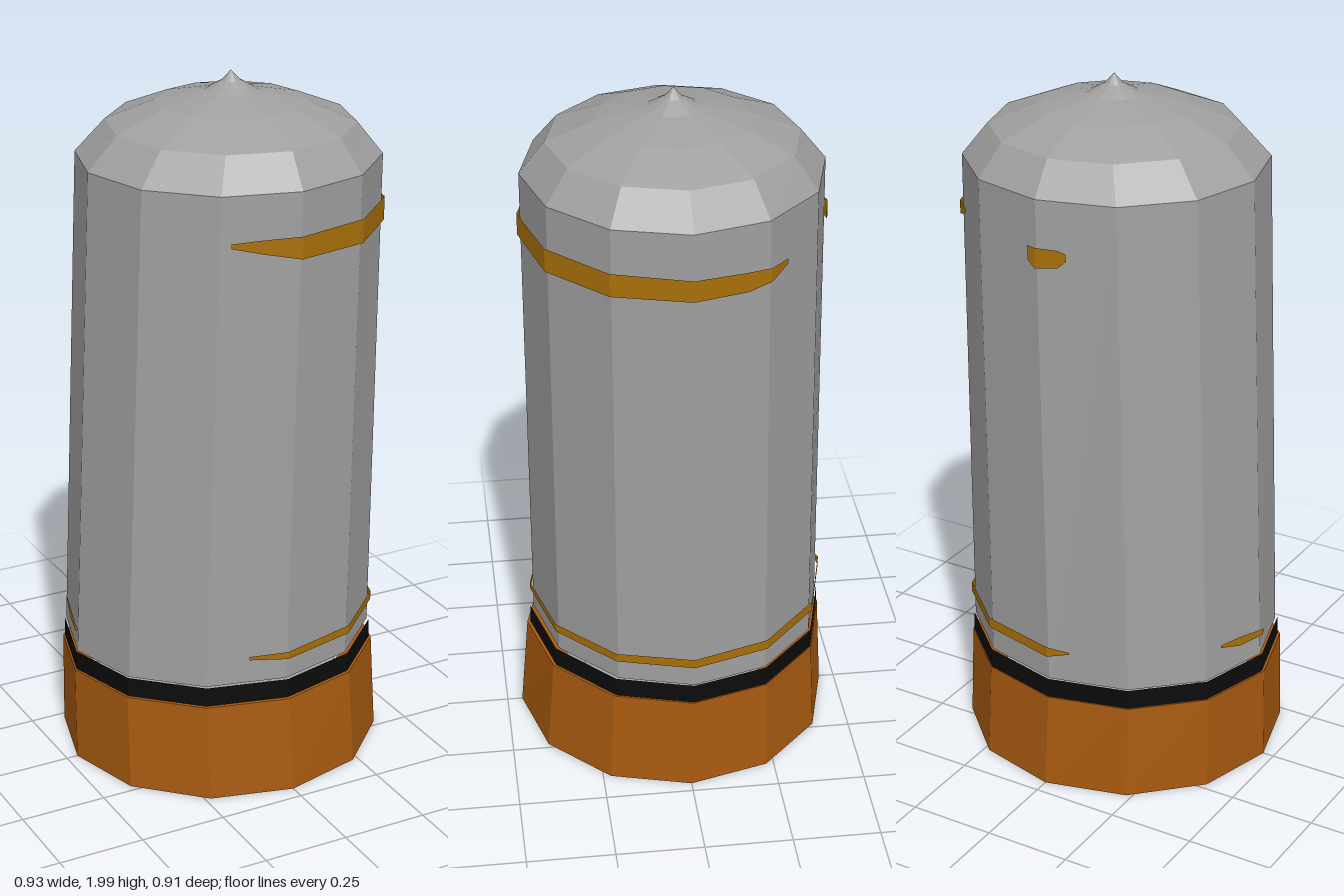
import * as THREE from 'three';

const SIDES = 12;
const grey = new THREE.MeshStandardMaterial({ color: 0xa0a0a0 });
const orange = new THREE.MeshStandardMaterial({ color: 0xa85a10 });
const black = new THREE.MeshStandardMaterial({ color: 0x0b0b0b });
const gold = new THREE.MeshStandardMaterial({ color: 0xa97008, side: THREE.DoubleSide });

// Cross-sections: [y, centre x, centre z, radius x, radius z]
const BASE = [[0.01, 0, 0, 0, 0], [0.01, 0, 0, 0.467, 0.456], [0.29, -0.004, -0.005, 0.461, 0.437], [0.295, -0.004, -0.005, 0.4, 0.38]];
const SEAL = [[0.285, -0.003, -0.008, 0.456, 0.431], [0.347, -0.003, -0.008, 0.455, 0.43]];
const LOW = [0.347, -0.003, -0.01, 0.45, 0.422];
const HIGH = [1.77, 0.03, 0, 0.425, 0.416];
const DOME = [HIGH, [1.86, 0.036, 0, 0.345, 0.345], [1.915, 0.037, 0, 0.21, 0.21],
  [1.945, 0.038, 0, 0.075, 0.075], [1.972, 0.038, 0, 0.026, 0.026], [2.0, 0.037, 0, 0, 0]];

function corner([y, cx, cz, rx, rz], i) {
  const a = (i / SIDES) * Math.PI * 2;
  return new THREE.Vector3(cx + rx * Math.cos(a), y, cz + rz * Math.sin(a));
}

// Flat-faced surface through a grid of rows of points
function facets(rows) {
  const pts = [];
  for (let r = 0; r < rows.length - 1; r++) {
    for (let i = 0; i < rows[r].length - 1; i++) {
      const [a, b, c, d] = [rows[r][i], rows[r + 1][i], rows[r + 1][i + 1], rows[r][i + 1]];
      for (const tri of [[a, b, d], [b, c, d]]) {
        const area = new THREE.Triangle(...tri).getArea();
        if (area > 1e-7) pts.push(...tri);
      }
    }
  }
  const g = new THREE.BufferGeometry().setFromPoints(pts);
  g.computeVertexNormals();
  return g;
}

function loft(sections) {
  return facets(sections.map(s => Array.from({ length: SIDES + 1 }, (_, i) => corner(s, i % SIDES))));
}

// Point just outside the body wall; t counts corners from +x towards +z
function onWall(t, y) {
  const k = (y - LOW[0]) / (HIGH[0] - LOW[0]);
  const s = LOW.map((v, i) => THREE.MathUtils.lerp(v, HIGH[i], k));
  s[3] += 0.009;
  s[4] += 0.009;
  const i = Math.floor(t);
  return corner(s, i).lerp(corner(s, i + 1), t - i);
}

// Thin band on the wall from [t, bottom y, top y] points
function band(points) {
  return facets([points.map(p => onWall(p[0], p[1])), points.map(p => onWall(p[0], p[2]))]);
}

export function createModel() {
  const group = new THREE.Group();
  const add = (name, geometry, material) => {
    const mesh = new THREE.Mesh(geometry, material);
    mesh.name = name;
    group.add(mesh);
  };

  add('base', loft(BASE), orange);
  add('blackSeal', loft(SEAL), black);
  add('body', loft([LOW, HIGH]), grey);
  add('dome', loft(DOME), grey);

  // Upper ring, with its corner breaking the wall again at the back
  add('upperRing', band([
    [-1.32, 1.622, 1.637], [-1, 1.597, 1.637], [-0.7, 1.58, 1.637], [0, 1.58, 1.642], [1, 1.58, 1.647],
    [2, 1.582, 1.65], [3, 1.587, 1.65], [3.5, 1.61, 1.647], [3.86, 1.63, 1.643],
  ]), gold);
  add('upperRingBack', band([[8.62, 1.61, 1.63], [8.72, 1.59, 1.638], [9, 1.582, 1.64], [9.12, 1.6, 1.64]]), gold);

  // Lower ring, slightly tilted, with a short piece on the right
  add('lowerRing', band([
    [-3.28, 0.437, 0.443], [-3, 0.42, 0.45], [-2, 0.42, 0.45], [-1, 0.416, 0.446], [0, 0.412, 0.44],
    [1, 0.411, 0.437], [2, 0.41, 0.435], [3, 0.41, 0.432], [3.48, 0.42, 0.43],
  ]), gold);
  add('lowerRingRight', band([[5.95, 0.415, 0.425], [6, 0.412, 0.43], [6.4, 0.412, 0.44], [6.75, 0.435, 0.443]]), gold);

  return group;
}
